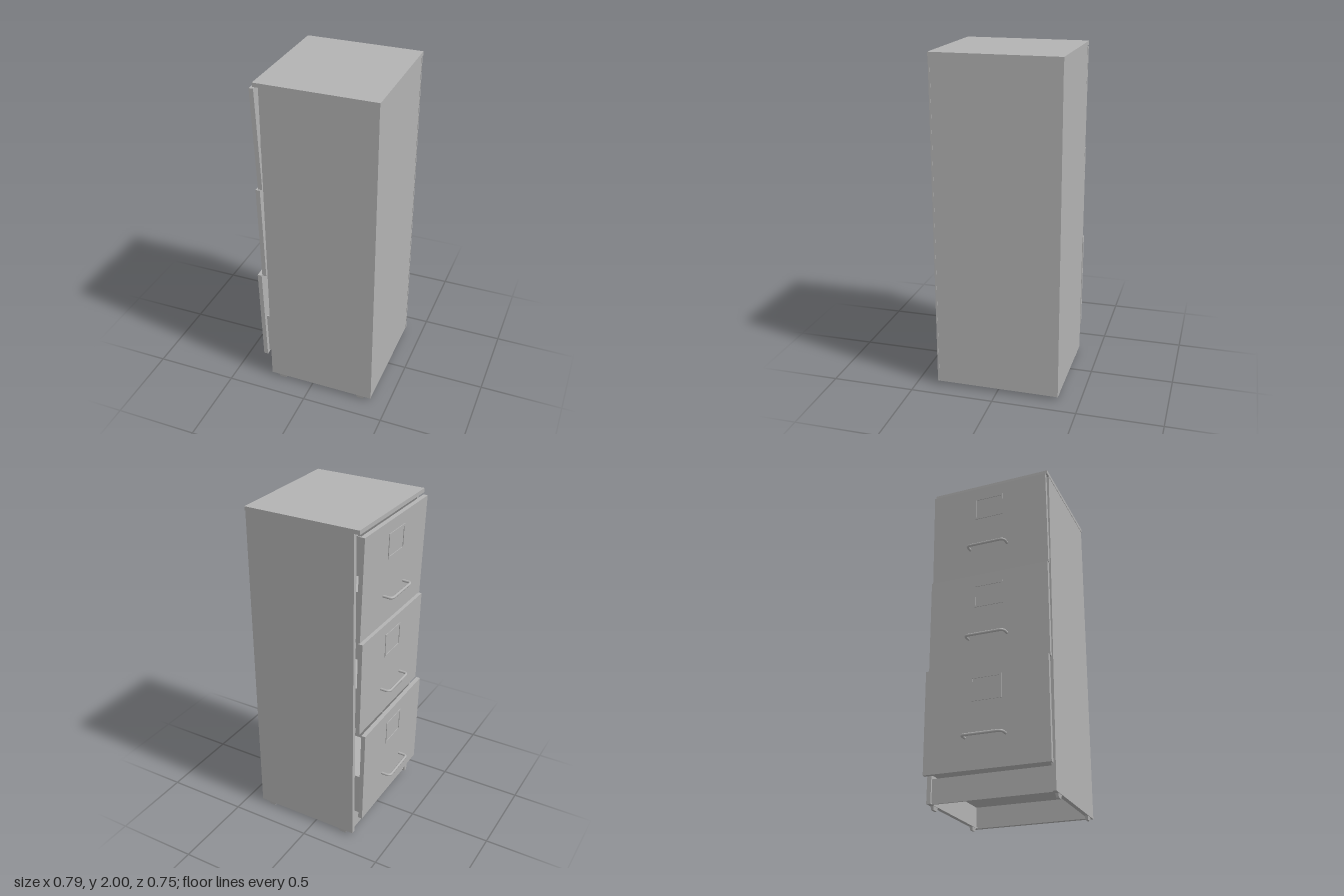
import * as THREE from 'three';

const steel = new THREE.MeshStandardMaterial({ color: 0xb2b2b2 });
steel.name = 'grey steel';

// Box given by its lower and upper corners
function slab(parent, name, [x0, y0, z0], [x1, y1, z1]) {
  const mesh = new THREE.Mesh(new THREE.BoxGeometry(x1 - x0, y1 - y0, z1 - z0), steel);
  mesh.name = name;
  mesh.position.set((x0 + x1) / 2, (y0 + y1) / 2, (z0 + z1) / 2);
  parent.add(mesh);
  return mesh;
}

// U-shaped bar with rounded corners, standing out toward -x
function makeHandle(reach, half) {
  const v = (x, z) => new THREE.Vector3(x, 0, z);
  const r = 0.025;
  const path = new THREE.CurvePath();
  path.add(new THREE.LineCurve3(v(0, -half), v(-reach + r, -half)));
  path.add(new THREE.QuadraticBezierCurve3(v(-reach + r, -half), v(-reach, -half), v(-reach, -half + r)));
  path.add(new THREE.LineCurve3(v(-reach, -half + r), v(-reach, half - r)));
  path.add(new THREE.QuadraticBezierCurve3(v(-reach, half - r), v(-reach, half), v(-reach + r, half)));
  path.add(new THREE.LineCurve3(v(-reach + r, half), v(0, half)));
  const handle = new THREE.Mesh(new THREE.TubeGeometry(path, 60, 0.008, 10), steel);
  handle.name = 'handle';
  return handle;
}

// Thin rectangular frame for a label card, lying on the drawer front
function makeLabelHolder(w, h) {
  const shape = new THREE.Shape();
  const rect = (p, a, b) => p.moveTo(-a, -b).lineTo(a, -b).lineTo(a, b).lineTo(-a, b).closePath();
  rect(shape, w / 2, h / 2);
  const hole = new THREE.Path();
  rect(hole, w / 2 - 0.012, h / 2 - 0.012);
  shape.holes.push(hole);
  const geo = new THREE.ExtrudeGeometry(shape, { depth: 0.004, bevelEnabled: false });
  const holder = new THREE.Mesh(geo, steel);
  holder.name = 'labelHolder';
  holder.rotation.y = -Math.PI / 2;
  return holder;
}

function makeDrawer(d) {
  const drawer = new THREE.Group();
  drawer.name = 'drawer';

  // Sagging front panel with its fittings
  const front = new THREE.Group();
  front.name = 'drawerFront';
  front.position.set(d.x, d.y, 0);
  front.rotation.set(0, d.yaw, d.tilt);
  const t = 0.013;
  slab(front, 'frontPanel', [-t, 0, -0.367], [t, d.h, 0.367]);
  const handle = makeHandle(0.055, 0.118);
  handle.position.set(-t, d.grip - d.y, -0.004);
  const holder = makeLabelHolder(0.185, 0.145);
  holder.position.set(-t, d.h * 0.76, 0);
  front.add(handle, holder);
  drawer.add(front);

  // Open tray behind the front
  const x0 = d.x + 0.004, x1 = 0.35, y0 = d.y + 0.015, y1 = y0 + 0.268;
  slab(drawer, 'trayBottom', [x0, y0, -0.34], [x1, y0 + 0.008, 0.34]);
  slab(drawer, 'trayBack', [x1 - 0.008, y0, -0.34], [x1, y1, 0.34]);
  for (const s of [-1, 1]) {
    const side = slab(drawer, 'traySide', [x0, y0, 0.332], [x1, y1, 0.34]);
    side.position.z *= s;
  }
  return drawer;
}

export function createModel() {
  const cabinet = new THREE.Group();
  cabinet.name = 'filingCabinet';
  const X0 = -0.27, X1 = 0.393, Z = 0.371, Y0 = 0.022, Y1 = 1.976;

  // Shell: top cap, back and side walls
  slab(cabinet, 'topCap', [-0.303, Y1, -0.373], [0.396, 2, 0.373]);
  slab(cabinet, 'backPanel', [X1 - 0.012, Y0, -Z + 0.008], [X1 - 0.002, Y1, Z - 0.008]);
  for (const s of [-1, 1]) {
    const parts = [
      slab(cabinet, 'sideWall', [X0, Y0, Z - 0.01], [X1, Y1, Z]),
      slab(cabinet, 'frontFlange', [X0, Y0, Z - 0.025], [X0 + 0.012, Y1, Z - 0.009]),
      slab(cabinet, 'bottomLip', [X0, Y0, Z - 0.025], [X1 - 0.004, Y0 + 0.008, Z - 0.009]),
    ];
    for (const p of parts) p.position.z *= s;

    // Small tapered feet under the side walls
    for (const x of [-0.198, 0.322]) {
      const geo = new THREE.CylinderGeometry(0.014, 0.01, 0.024, 4, 1);
      geo.rotateY(Math.PI / 4).scale(2.8, 1, 1);
      const foot = new THREE.Mesh(geo.toNonIndexed(), steel);
      foot.geometry.computeVertexNormals();
      foot.name = 'foot';
      foot.position.set(x, 0.012, s * 0.358);
      cabinet.add(foot);
    }
  }

  // Recessed kick panel, back lip, cross rails and inner floor
  slab(cabinet, 'kickPanel', [X0 + 0.018, Y0, -Z + 0.01], [X0 + 0.028, 0.16, Z - 0.01]);
  slab(cabinet, 'backLip', [X1 - 0.028, Y0, -Z + 0.01], [X1 - 0.012, Y0 + 0.008, Z - 0.01]);
  slab(cabinet, 'innerFloor', [X0 + 0.018, 0.155, -Z + 0.01], [X1 - 0.012, 0.163, Z - 0.01]);
  slab(cabinet, 'floorRail', [0.14, 0.14, -Z + 0.01], [0.16, 0.156, Z - 0.01]);
  for (const y of [0.755, 1.345, 1.955]) {
    slab(cabinet, 'crossRail', [X0, y, -Z + 0.01], [X0 + 0.025, y + 0.018, Z - 0.01]);
  }

  // Three drawers, each hanging a little differently
  const drawers = [
    { x: -0.292, y: 1.362, h: 0.602, tilt: 0.038, yaw: 0.004, grip: 1.54 },
    { x: -0.295, y: 0.771, h: 0.584, tilt: 0.022, yaw: 0.004, grip: 0.945 },
    { x: -0.315, y: 0.163, h: 0.604, tilt: 0.024, yaw: 0.014, grip: 0.345 },
  ];
  for (const d of drawers) cabinet.add(makeDrawer(d));
  return cabinet;
}
